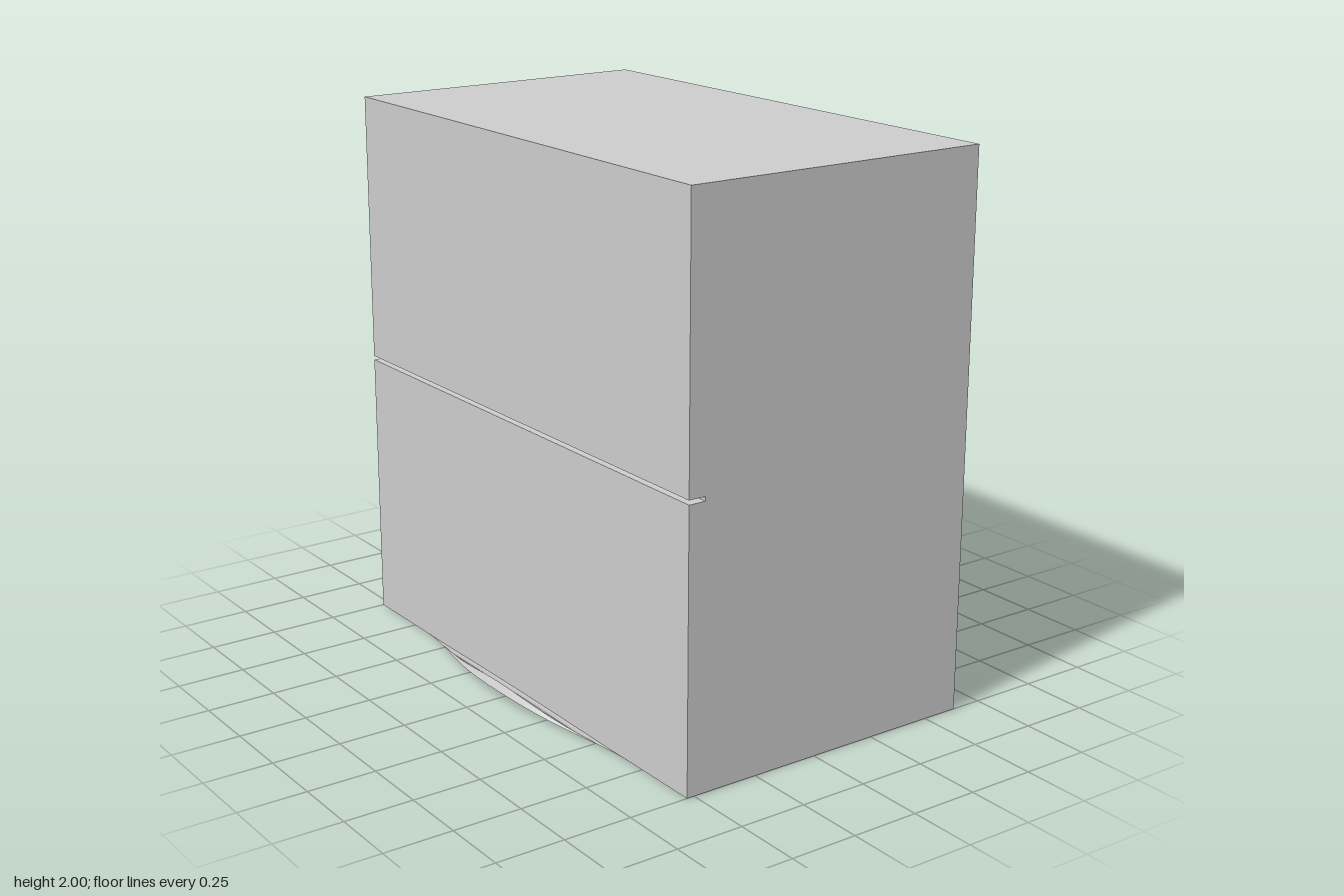
import * as THREE from 'three';
import { ParametricGeometry } from 'three/addons/geometries/ParametricGeometry.js';

const BACK = -0.635, FRONT = 0.528, HALF = 0.68;

export function createModel() {
  const group = new THREE.Group();
  const material = new THREE.MeshStandardMaterial({ color: 0xcccccc, side: THREE.DoubleSide });

  // Block with a thin groove across the front: side profile (z, y) extruded along x
  const profile = new THREE.Shape([
    [BACK, 0], [FRONT, 0], [FRONT, 1], [0.465, 1],
    [0.465, 1.015], [FRONT, 1.015], [FRONT, 2], [BACK, 2],
  ].map(([z, y]) => new THREE.Vector2(z, y)));
  const bodyGeometry = new THREE.ExtrudeGeometry(profile, { depth: 2, bevelEnabled: false });
  bodyGeometry.translate(0, 0, -1).rotateY(-Math.PI / 2);
  const body = new THREE.Mesh(bodyGeometry, material);
  body.name = 'body';
  group.add(body);

  // Upturned lip: its reach follows a bell curve across the width
  const lip = new THREE.Group();
  lip.name = 'lip';
  const bell = (x) => Math.max(0.002, (1 + Math.cos(Math.PI * x / HALF)) / 2);
  const underside = (s, t) => [0.04 * (s * t) ** 1.8, 0.107 * s * t];
  const upper = (s, t) => [0.004 * s * (1 - t) + 0.065 * (s * t) ** 1.8, 0.092 * s * t];
  const edge = (s, t) => {
    const a = underside(s, 1), b = upper(s, 1);
    return a.map((value, i) => value + (b[i] - value) * t);
  };
  const addSurface = (name, section, rows) => {
    const geometry = new ParametricGeometry((u, v, target) => {
      const x = (u * 2 - 1) * HALF;
      const [y, reach] = section(bell(x), v);
      target.set(x, y, FRONT + reach);
    }, 48, rows);
    const mesh = new THREE.Mesh(geometry, material);
    mesh.name = name;
    lip.add(mesh);
  };
  addSurface('lipUnderside', underside, 10);
  addSurface('lipTop', (s, t) => upper(s, 1 - t), 10);
  addSurface('lipEdge', edge, 1);
  group.add(lip);

  return group;
}
